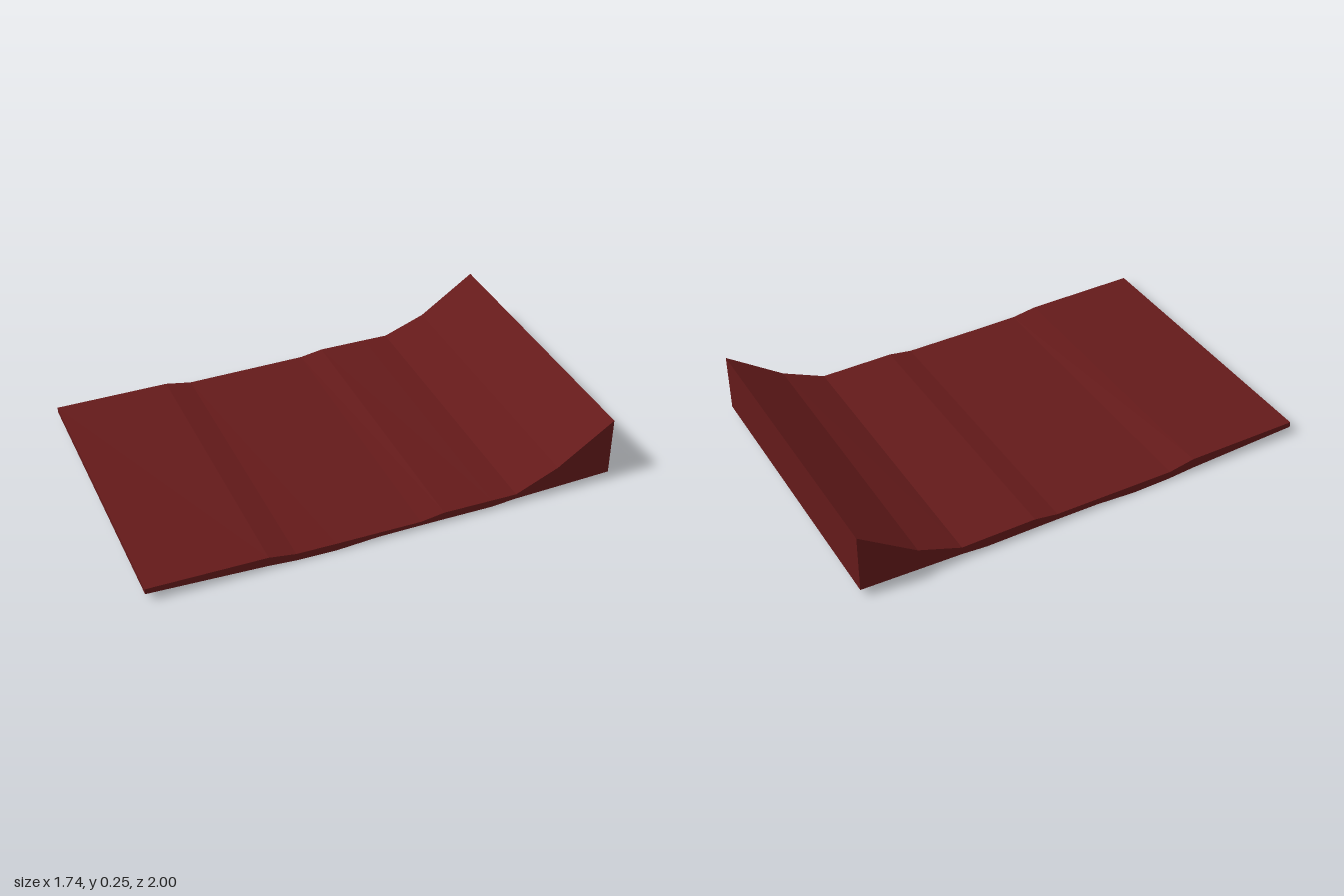
import * as THREE from 'three';

const WIDTH = 1.09;
const LENGTH = 1.687;

// Cross-sections from back to front:
// [fraction of length, top height at -x side, top height at +x side, underside height]
const SECTIONS = [
  [0, 0.247, 0.247, 0.03],
  [0.122, 0.105, 0.105, 0.023],
  [0.215, 0.046, 0.036, 0.018],
  [0.27, 0.047, 0.037, 0.01],
  [0.377, 0.048, 0.039, 0.011],
  [0.428, 0.034, 0.026, 0.011],
  [0.52, 0.033, 0.027, 0.01],
  [0.61, 0.032, 0.028, 0],
  [0.695, 0.031, 0.03, 0.003],
  [0.752, 0.049, 0.045, 0.011],
  [1, 0.05, 0.05, 0.03],
];

// A box segmented along its length, with each ring moved to its cross-section
function slabGeometry() {
  const steps = SECTIONS.length - 1;
  const box = new THREE.BoxGeometry(1, 1, 1, 1, 1, steps);
  const p = box.attributes.position;
  for (let i = 0; i < p.count; i++) {
    const [f, topLeft, topRight, bottom] = SECTIONS[Math.round((p.getZ(i) + 0.5) * steps)];
    const top = p.getX(i) < 0 ? topLeft : topRight;
    p.setXYZ(i, p.getX(i) * WIDTH, p.getY(i) > 0 ? top : bottom, (f - 0.5) * LENGTH);
  }
  const flat = box.toNonIndexed();
  flat.computeVertexNormals();
  return flat;
}

export function createModel() {
  const model = new THREE.Group();
  model.name = 'rampedSlab';

  // Thin uneven slab rising to a ramp at the back, turned on the ground
  const slab = new THREE.Mesh(
    slabGeometry(),
    new THREE.MeshStandardMaterial({ color: 0x641a1a, flatShading: true })
  );
  slab.name = 'slab';
  slab.rotation.y = -Math.atan2(0.5, 0.97);
  model.add(slab);

  return model;
}
